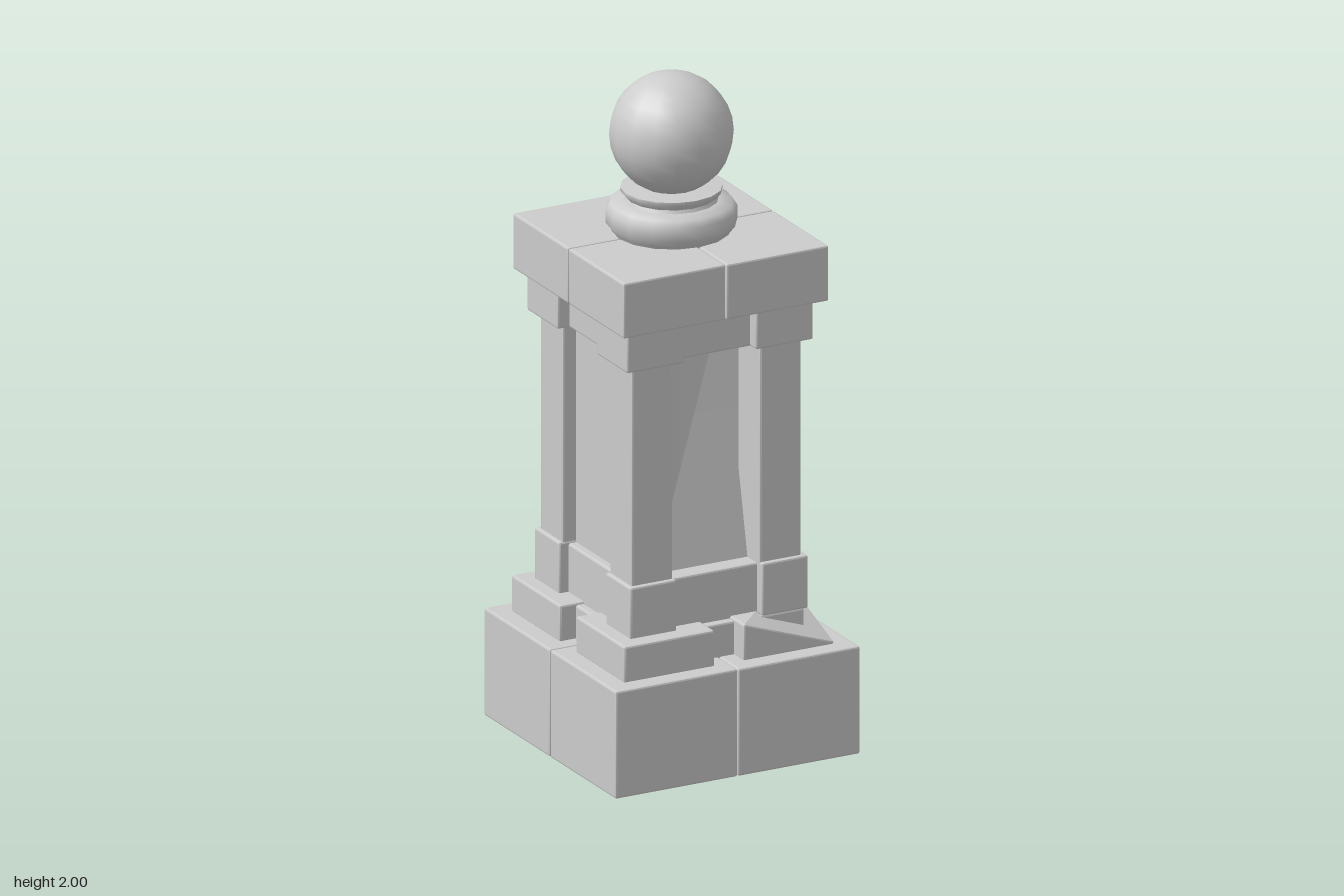
import * as THREE from 'three';
import { RoundedBoxGeometry } from 'three/addons/geometries/RoundedBoxGeometry.js';
import { toCreasedNormals } from 'three/addons/utils/BufferGeometryUtils.js';

export function createModel() {
  const group = new THREE.Group();
  const stone = new THREE.MeshStandardMaterial({ color: 0xcccccc });
  stone.name = 'stone';

  function add(name, geo) {
    const mesh = new THREE.Mesh(geo, stone);
    mesh.name = name;
    group.add(mesh);
    return mesh;
  }

  // Chamfered block between two corners; chip = { corner: [sx, sy, sz], move: [dx, dy, dz] }
  function block(name, x0, x1, y0, y1, z0, z1, chip) {
    const geo = new RoundedBoxGeometry(x1 - x0, y1 - y0, z1 - z0, 1, 0.006);
    if (chip) {
      const p = geo.attributes.position;
      const [sx, sy, sz] = chip.corner;
      for (let i = 0; i < p.count; i++) {
        if (p.getX(i) * sx > 0 && p.getY(i) * sy > 0 && p.getZ(i) * sz > 0) {
          p.setXYZ(i, p.getX(i) + chip.move[0], p.getY(i) + chip.move[1], p.getZ(i) + chip.move[2]);
        }
      }
    }
    const mesh = add(name, toCreasedNormals(geo, 0.35));
    mesh.position.set((x0 + x1) / 2, (y0 + y1) / 2, (z0 + z1) / 2);
  }

  // Block placed in one quadrant, from inner to outer distance off the axis cx
  function corner(name, sx, sz, inner, outer, y0, y1, cx, chip) {
    const xs = [cx + sx * inner, cx + sx * outer].sort((a, b) => a - b);
    const zs = [sz * inner, sz * outer].sort((a, b) => a - b);
    block(name, xs[0], xs[1], y0, y1, zs[0], zs[1], chip);
  }

  for (const sx of [-1, 1]) {
    for (const sz of [-1, 1]) {
      // Foundation quarter, the back one on +x worn down at its outer corner
      corner('foundationBlock', sx, sz, 0.001, 0.394, 0, 0.325, -0.004,
        sx > 0 && sz < 0 ? { corner: [1, 1, -1], move: [0, -0.025, 0] } : null);
      // Step quarter, the front one on +x broken at its outer corner
      corner('stepBlock', sx, sz, 0.047, 0.338, 0.32, 0.432, -0.002,
        sx > 0 && sz > 0 ? { corner: [1, 1, 1], move: [0, -0.098, 0] } : null);
      corner('pillarBase', sx, sz, 0.138, 0.287, 0.425, 0.585, -0.006);
      corner('pillar', sx, sz, 0.14, 0.273, 0.57, 1.26, -0.008);
      corner('pillarCapital', sx, sz, 0.115, 0.3, 1.24, 1.362, -0.01);
      corner('capBlock', sx, sz, 0.001, 0.331, 1.36, 1.528, -0.008);
    }
  }

  // Recessed courses and the inner shaft, whose one upper corner leans inward
  const c = -0.008;
  block('stepCore', c - 0.28, c + 0.28, 0.31, 0.425, -0.28, 0.28);
  block('plinthCore', c - 0.255, c + 0.255, 0.42, 0.578, -0.255, 0.255);
  block('shaft', c - 0.23, c + 0.23, 0.42, 1.365, -0.23, 0.23,
    { corner: [1, 1, 1], move: [-0.06, 0, -0.195] });
  block('frieze', c - 0.265, c + 0.265, 1.24, 1.362, -0.265, 0.265);

  // Turned collar under the ball
  const profile = [
    [0, 1.52], [0.165, 1.52], [0.172, 1.535], [0.188, 1.555], [0.188, 1.595], [0.176, 1.615],
    [0.135, 1.622], [0.13, 1.632], [0.146, 1.65], [0.146, 1.66], [0.06, 1.665], [0, 1.665],
  ].map(([r, y]) => new THREE.Vector2(r, y));
  const collar = add('collar', toCreasedNormals(new THREE.LatheGeometry(profile, 16), 0.9));
  collar.position.x = -0.006;

  // Ball finial
  const ball = add('ballFinial', new THREE.SphereGeometry(0.178, 16, 14));
  ball.position.set(-0.006, 1.822, 0);

  return group;
}
